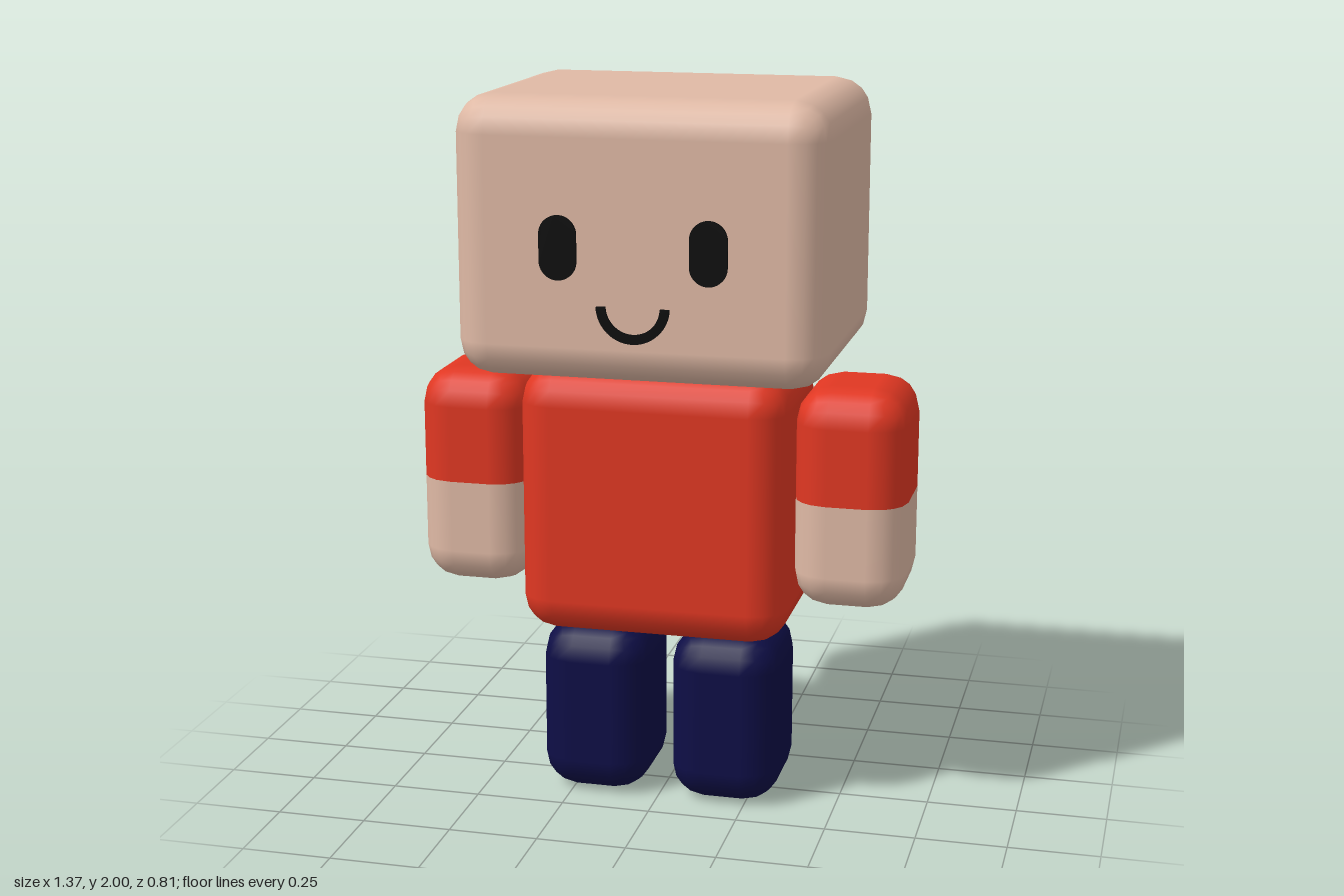
import * as THREE from 'three';
import { RoundedBoxGeometry } from 'three/addons/geometries/RoundedBoxGeometry.js';

const material = (name, color) => {
  const m = new THREE.MeshStandardMaterial({ color });
  m.name = name;
  return m;
};

export function createModel() {
  const skin = material('skin', 0xdfb9a5);
  const red = material('red shirt', 0xe03722);
  const navy = material('navy trousers', 0x0e0e46);
  const black = material('black', 0x0b0b0b);

  const model = new THREE.Group();
  model.name = 'blockFigure';
  const RADIUS = 0.1, Z = -0.005;

  const add = (name, geometry, mat, x, y, z = Z, parent = model) => {
    const mesh = new THREE.Mesh(geometry, mat);
    mesh.name = name;
    mesh.position.set(x, y, z);
    parent.add(mesh);
    return mesh;
  };
  const block = (w, h, d) => new RoundedBoxGeometry(w, h, d, 2, RADIUS);

  // Part of a rounded block between two heights, cut flat
  const slice = (w, h, d, low, high) => {
    const g = block(w, h, d), p = g.attributes.position;
    for (let i = 0; i < p.count; i++) p.setY(i, THREE.MathUtils.clamp(p.getY(i), low, high));
    return g;
  };

  // Head and torso
  add('head', block(1, 0.75, 0.8), skin, 0, 1.625);
  add('torso', block(0.75, 0.75, 0.52), red, 0, 0.875);

  // Limbs: two-tone arms with sleeves, and plain legs
  const armH = 0.615, armY = 0.9075, cut = 0.902 - armY;
  for (const [side, s] of [['left', 1], ['right', -1]]) {
    const arm = new THREE.Group();
    arm.name = side + 'Arm';
    model.add(arm);
    add(side + 'Sleeve', slice(0.31, armH, 0.37, cut, 1), red, s * 0.53, armY, Z, arm);
    add(side + 'Forearm', slice(0.31, armH, 0.37, -1, cut), skin, s * 0.53, armY, Z, arm);
    add(side + 'Leg', block(0.31, 0.495, 0.37), navy, s * 0.1865, 0.2525 - 0.0025);
  }

  // Face: thin plates on the front of the head
  const plate = (shape) => new THREE.ExtrudeGeometry(shape, { depth: 0.008, bevelEnabled: false, curveSegments: 16 });
  const eye = new THREE.Shape();
  eye.absarc(0, 0.035, 0.05, 0, Math.PI, false);
  eye.absarc(0, -0.035, 0.05, Math.PI, Math.PI * 2, false);
  for (const [side, s] of [['left', 1], ['right', -1]])
    add(side + 'Eye', plate(eye), black, s * 0.2, 1.615, 0.396);

  const smile = new THREE.Shape();
  const a = Math.PI * 1.01, b = Math.PI * 1.99;
  smile.absarc(0, 0, 0.098, a, b, false);
  smile.absarc(0, 0, 0.073, b, a, true);
  add('smile', plate(smile), black, 0, 1.468, 0.396);

  return model;
}
